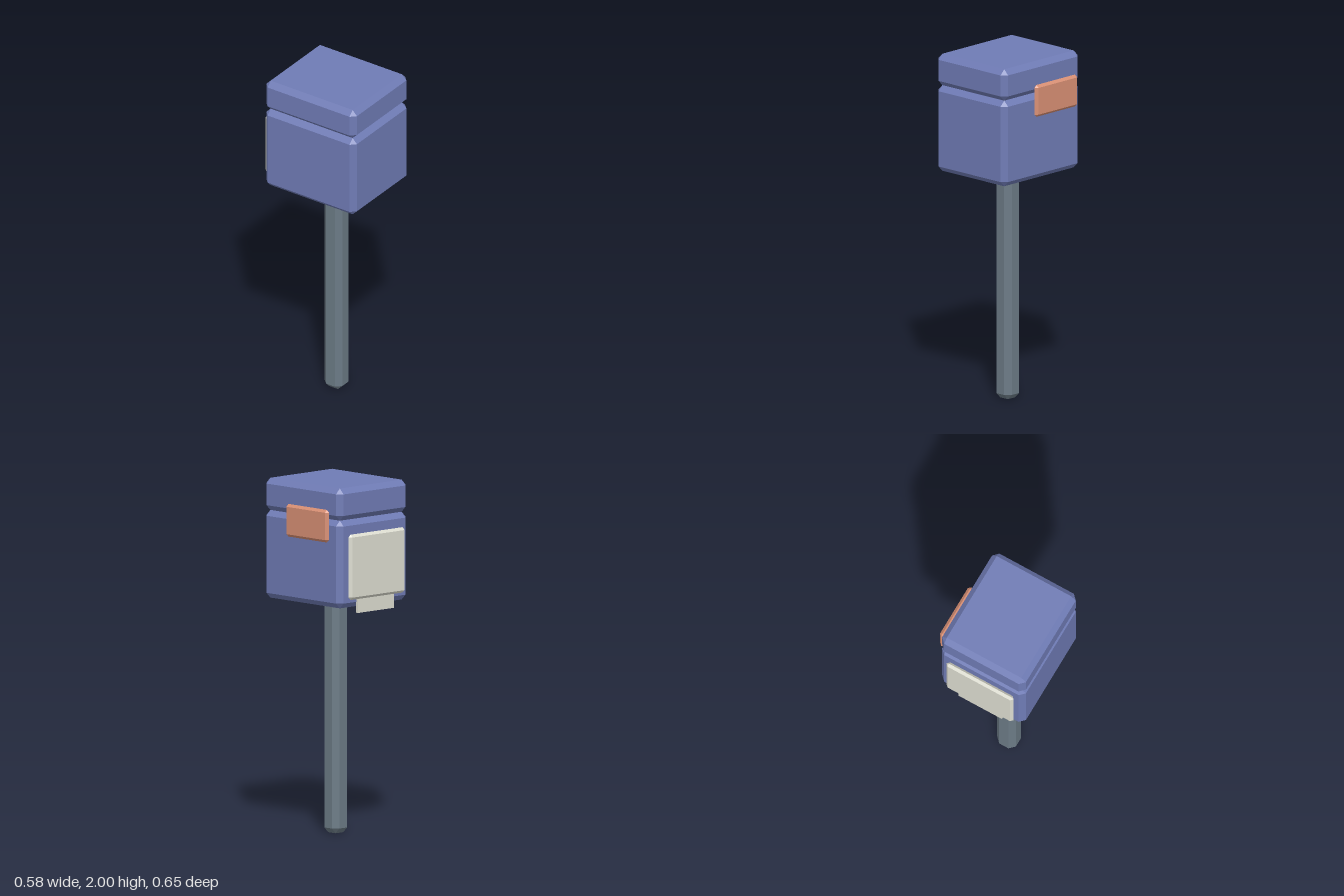
import * as THREE from 'three';
import { ConvexGeometry } from 'three/addons/geometries/ConvexGeometry.js';

const paint = (color) => new THREE.MeshStandardMaterial({ color, flatShading: true });

// Box with every edge cut at 45 degrees, given by its min and max corners
function chamferedBox(name, min, max, cut, material) {
  const half = min.map((v, i) => (max[i] - v) / 2);
  const inner = half.map((h) => Math.max(h - cut, 0));
  const points = new Map();
  for (let axis = 0; axis < 3; axis++) {
    for (const sx of [-1, 1]) for (const sy of [-1, 1]) for (const sz of [-1, 1]) {
      const p = [sx, sy, sz].map((s, i) => s * (i === axis ? half[i] : inner[i]) + 0);
      points.set(p.map((v) => v.toFixed(5)).join(), new THREE.Vector3(...p));
    }
  }
  const mesh = new THREE.Mesh(new ConvexGeometry([...points.values()]), material);
  mesh.name = name;
  mesh.position.set(...min.map((v, i) => (v + max[i]) / 2));
  return mesh;
}

export function createModel() {
  const model = new THREE.Group();
  model.name = 'mailbox';
  const blue = paint(0x6f7bb5);
  const cream = paint(0xdcdcd0);

  // Post, box and lid
  model.add(
    chamferedBox('post', [-0.08, 0, -0.043], [0.04, 1.325, 0.077], 0.03, paint(0x6b7a85)),
    chamferedBox('boxBody', [-0.29, 1.322, -0.295], [0.25, 1.818, 0.325], 0.03, blue),
    chamferedBox('lid', [-0.29, 1.818, -0.295], [0.25, 2, 0.325], 0.03, blue),
  );

  // Signal flag on the left side
  model.add(chamferedBox('flag', [0.26, 1.695, -0.233], [0.29, 1.88, 0.107], 0.015, paint(0xd88f74)));

  // Door panel on the back, with its pull tab below
  model.add(chamferedBox('doorPanel', [-0.237, 1.37, -0.326], [0.196, 1.74, -0.296], 0.015, cream));
  const tab = new THREE.Mesh(new THREE.BoxGeometry(0.28, 0.09, 0.015), cream);
  tab.name = 'pullTab';
  tab.position.set(-0.02, 1.335, -0.3);
  model.add(tab);

  return model;
}
